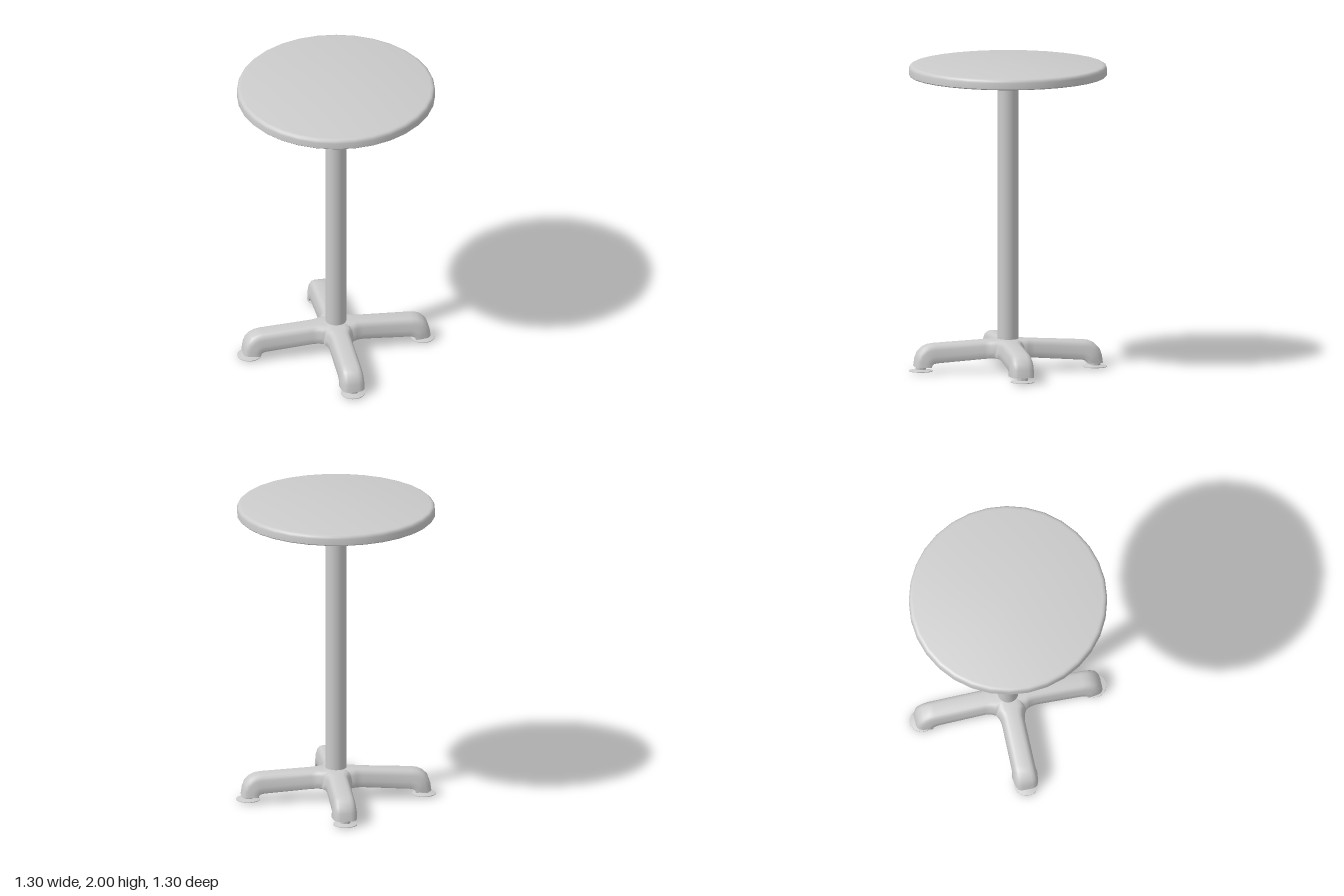
import * as THREE from 'three';
import { toCreasedNormals } from 'three/addons/utils/BufferGeometryUtils.js';

const material = new THREE.MeshStandardMaterial({ color: 0xcccccc });

function addMesh(parent, name, geometry) {
  const mesh = new THREE.Mesh(geometry, material);
  mesh.name = name;
  parent.add(mesh);
  return mesh;
}

// Turned part from [radius, height] points listed bottom to top
function turned(points, sides) {
  const profile = points.map(([r, y]) => new THREE.Vector2(r, y));
  return toCreasedNormals(new THREE.LatheGeometry(profile, sides), 0.7);
}

// Base arm along +x: tapered sections lofted outward, then bent down over the foot
function armGeometry() {
  // top x, top y, bottom x, bottom y, half width
  const stations = [
    [0, 0.21, 0, 0.096, 0.1],
    [0.1, 0.206, 0.1, 0.092, 0.1],
    [0.125, 0.205, 0.125, 0.091, 0.085],
    [0.165, 0.203, 0.165, 0.088, 0.076],
    [0.49, 0.186, 0.47, 0.067, 0.077],
    [0.53, 0.18, 0.485, 0.065, 0.078],
    [0.565, 0.163, 0.497, 0.062, 0.08],
    [0.595, 0.132, 0.506, 0.056, 0.082],
    [0.61, 0.09, 0.51, 0.048, 0.083],
    [0.617, 0.04, 0.511, 0.04, 0.083],
  ];
  // half section: width factor, height fraction
  const half = [[0.95, 0], [1, 0.06], [0.96, 0.35], [0.88, 0.7], [0.78, 0.87], [0.62, 0.96], [0.4, 1]];
  const section = [...half.map(([w, t]) => [-w, t]), ...half.map(([w, t]) => [w, t]).reverse()];
  const n = section.length;
  const positions = [];
  const index = [];
  for (const [tx, ty, bx, by, w] of stations) {
    for (const [s, t] of section) {
      positions.push(bx + (tx - bx) * t, by + (ty - by) * t, s * w);
    }
  }
  for (let i = 0; i < stations.length - 1; i++) {
    for (let j = 0; j < n; j++) {
      const a = i * n + j;
      const d = i * n + (j + 1) % n;
      index.push(a, d, a + n, d, d + n, a + n);
    }
  }
  // flat cap on the downturned end
  const last = (stations.length - 1) * n;
  for (let j = 1; j < n - 1; j++) index.push(last, last + j, last + j + 1);

  const geometry = new THREE.BufferGeometry();
  geometry.setAttribute('position', new THREE.Float32BufferAttribute(positions, 3));
  geometry.setIndex(index);
  return toCreasedNormals(geometry, 0.75);
}

export function createModel() {
  const group = new THREE.Group();
  group.name = 'pedestalTable';

  // Round top with a softened upper edge
  addMesh(group, 'tableTop', turned([
    [0, 1.93], [0.636, 1.93], [0.642, 1.936], [0.642, 1.975],
    [0.638, 1.989], [0.629, 1.997], [0.615, 2], [0, 2],
  ], 32));

  // Central column
  const column = addMesh(group, 'column', new THREE.CylinderGeometry(0.067, 0.067, 1.78, 32));
  column.position.y = 1.04;

  // Four arms, each with an adjustable foot
  const arm = armGeometry();
  const foot = turned([
    [0, 0], [0.028, 0], [0.04, 0.005], [0.078, 0.008],
    [0.078, 0.012], [0.045, 0.018], [0.035, 0.02], [0.035, 0.06],
  ], 24);
  for (let i = 0; i < 4; i++) {
    const leg = new THREE.Group();
    leg.name = 'leg' + (i + 1);
    leg.rotation.y = i * Math.PI / 2;
    addMesh(leg, 'arm', arm);
    addMesh(leg, 'foot', foot).position.x = 0.572;
    group.add(leg);
  }
  return group;
}
